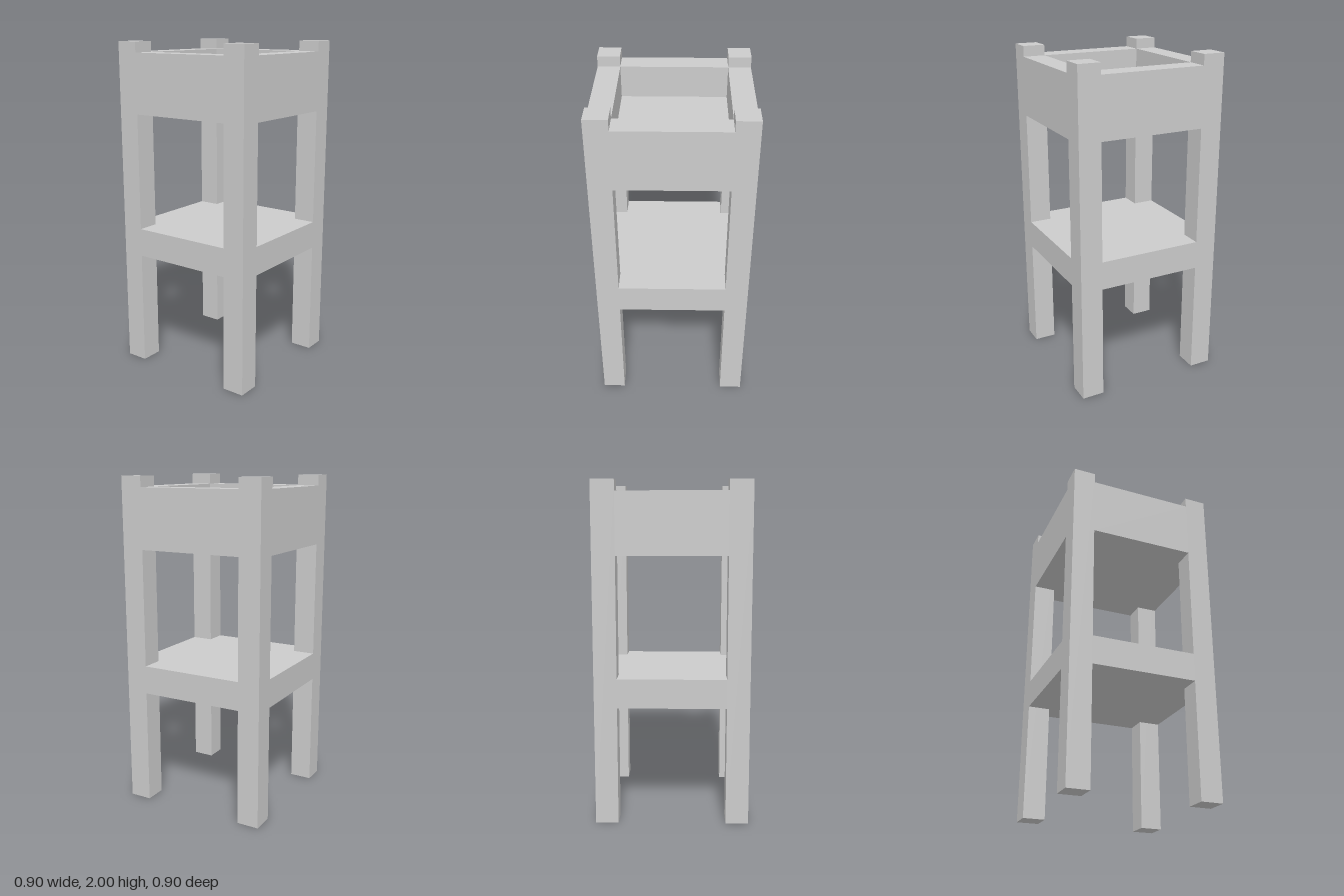
import * as THREE from 'three';

const OUT = 0.452; // outer half width
const IN = 0.318; // half width between the legs
const LEG = OUT - IN;
const MID = (OUT + IN) / 2;

export function createModel() {
  const group = new THREE.Group();
  const material = new THREE.MeshStandardMaterial({ color: 0xcccccc });

  const add = (name, geometry) => {
    const mesh = new THREE.Mesh(geometry, material);
    mesh.name = name;
    group.add(mesh);
    return mesh;
  };
  // Box spanning y0..y1, centred on x, z
  const box = (name, w, d, y0, y1, x, z) =>
    add(name, new THREE.BoxGeometry(w, y1 - y0, d)).position.set(x, (y0 + y1) / 2, z);

  // Four square legs, rising above the rim as corner posts
  for (const [side, sx] of [['Left', 1], ['Right', -1]]) {
    for (const [end, sz] of [['front', 1], ['back', -1]]) {
      box(`${end}${side}Leg`, LEG, LEG, 0, 2, sx * MID, sz * MID);
    }
  }

  // Tray walls between the legs
  const wallBottom = 1.579, wallTop = 1.937;
  for (const s of [1, -1]) {
    box(s > 0 ? 'frontWall' : 'backWall', IN * 2, LEG, wallBottom, wallTop, 0, s * MID);
    box(s > 0 ? 'leftWall' : 'rightWall', LEG, IN * 2, wallBottom, wallTop, s * MID, 0);
  }

  // Tray floor, recessed below the rim
  box('trayFloor', IN * 2, IN * 2, wallBottom, 1.745, 0, 0);

  // Lower shelf: a slab flush with the legs, notched at its corners around them
  const outline = [];
  for (const [sx, sz] of [[1, 1], [-1, 1], [-1, -1], [1, -1]]) {
    const corner = [[OUT, IN], [IN, IN], [IN, OUT]];
    if (sx * sz < 0) corner.reverse();
    for (const [x, z] of corner) outline.push(new THREE.Vector2(sx * x, sz * z));
  }
  const shelf = new THREE.ExtrudeGeometry(new THREE.Shape(outline), { depth: 0.172, bevelEnabled: false });
  shelf.rotateX(-Math.PI / 2);
  add('shelf', shelf).position.y = 0.702;

  return group;
}
